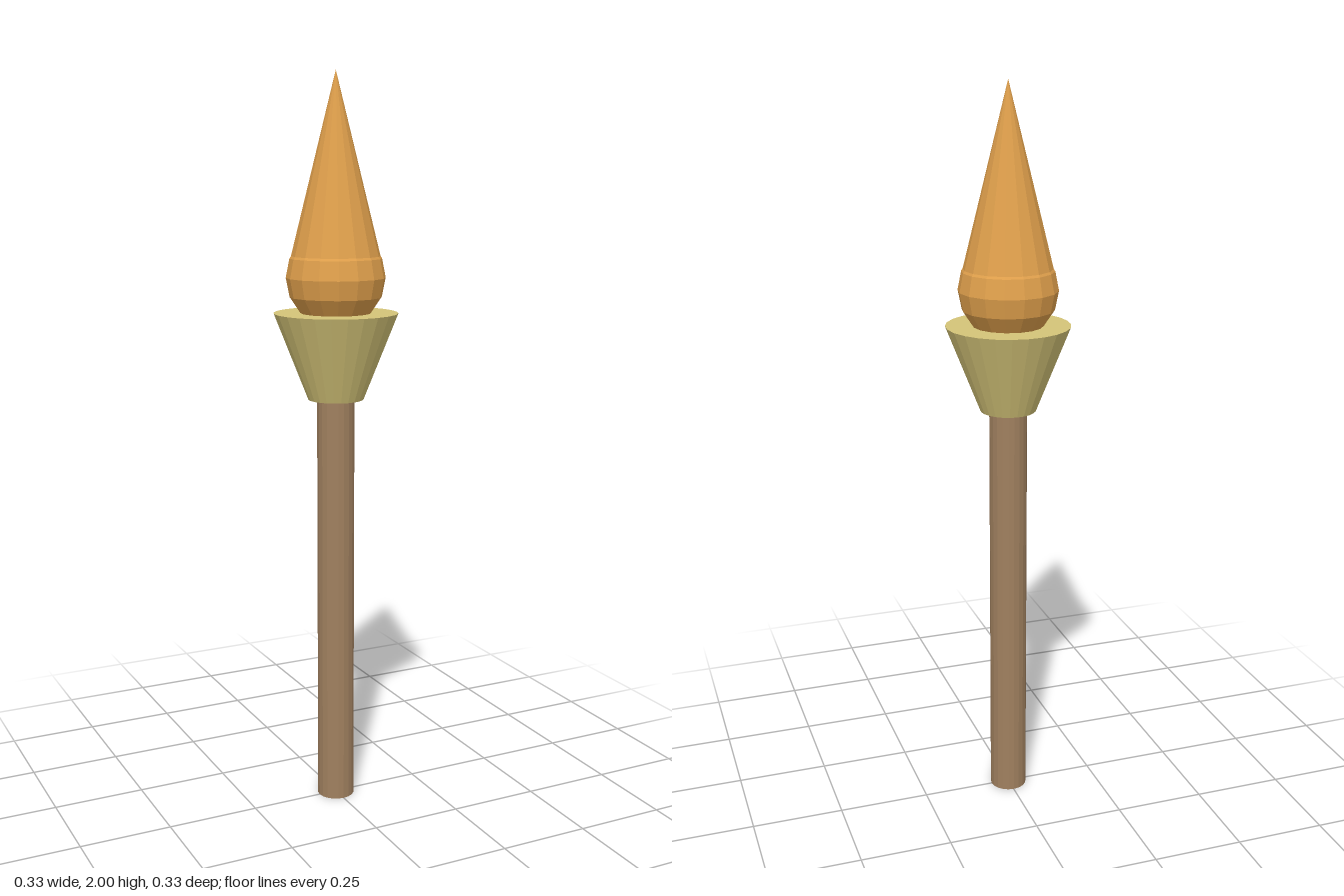
import * as THREE from 'three';

function material(name, color) {
  const m = new THREE.MeshStandardMaterial({ color, flatShading: true });
  m.name = name;
  return m;
}

export function createModel() {
  const group = new THREE.Group();
  group.name = 'torch';
  const wood = material('brown wood', 0xa0805f);
  const brass = material('pale brass', 0xd4c478);
  const fire = material('orange flame', 0xe0a04c);

  const add = (name, geometry, mat, y) => {
    const mesh = new THREE.Mesh(geometry, mat);
    mesh.name = name;
    mesh.position.y = y;
    group.add(mesh);
  };

  // Shaft runs up into the cup
  add('shaft', new THREE.CylinderGeometry(0.051, 0.051, 1.17, 20), wood, 0.585);

  // Flared cup, closed at both ends
  add('cup', new THREE.CylinderGeometry(0.167, 0.075, 0.233, 24), brass, 1.257);

  // Flame: a round base seated in the cup with a cone rising from its equator
  add('flameBase', new THREE.SphereGeometry(0.133, 16, 8), fire, 1.467);
  add('flameTip', new THREE.ConeGeometry(0.133, 0.533, 16), fire, 1.7335);

  return group;
}
